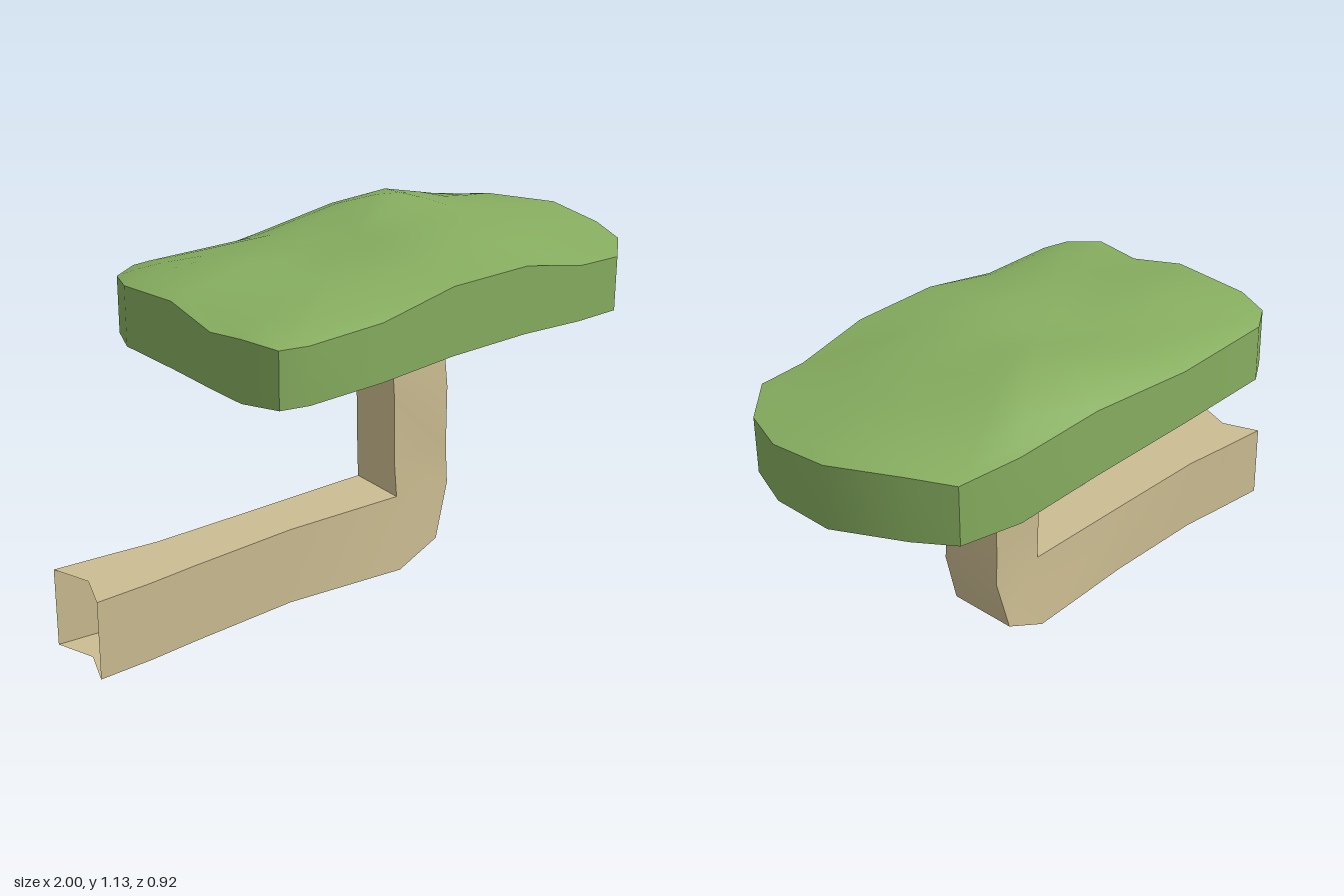
import * as THREE from 'three';
import { toCreasedNormals } from 'three/addons/utils/BufferGeometryUtils.js';

// Skin a list of closed rings (arrays of [x, y, z]) with quads
function loft(rings, crease) {
  const n = rings[0].length, index = [];
  rings.slice(1).forEach((_, j) => {
    for (let i = 0; i < n; i++) {
      const k = (i + 1) % n;
      const a = j * n + i, b = j * n + k, c = b + n, d = a + n;
      index.push(a, d, c, a, c, b);
    }
  });
  const geo = new THREE.BufferGeometry();
  geo.setAttribute('position', new THREE.Float32BufferAttribute(rings.flat(2), 3));
  geo.setIndex(index);
  return toCreasedNormals(geo, crease);
}

// Bent square limb: open notched end, long arm, chamfered elbow, upright
function branchGeometry() {
  // lower/outer x, y, front z, back z; then upper/inner x, y, front z, back z
  const sections = [
    [-1, 0, 0.185, -0.066, -1, 0.255, 0.185, -0.066],
    [-0.82, 0, 0.18, -0.05, -0.82, 0.255, 0.18, -0.05],
    [-0.66, 0, 0.167, -0.034, -0.66, 0.255, 0.167, -0.034],
    [-0.29, 0, 0.146, -0.036, -0.29, 0.255, 0.146, -0.036],
    [0.12, 0, 0.185, -0.06, 0.12, 0.255, 0.162, -0.04],
    [0.27, 0.07, 0.185, -0.058, 0.12, 0.255, 0.162, -0.04],
    [0.32, 0.255, 0.176, -0.054, 0.12, 0.255, 0.162, -0.04],
    [0.32, 0.38, 0.166, -0.058, 0.12, 0.38, 0.148, -0.045],
    [0.32, 0.59, 0.166, -0.058, 0.12, 0.59, 0.145, -0.05],
    [0.32, 0.85, 0.128, -0.066, 0.12, 0.85, 0.12, -0.062],
  ];
  const rings = sections.map(([ox, oy, of, ob, ix, iy, jf, jb], s) => {
    const notch = s === 0 ? 0.045 : 0;
    return [[ox, oy, of], [ix, iy, jf], [ix + notch, iy, (jf + jb) / 2],
      [ix, iy, jb], [ox, oy, ob], [ox + notch, oy, (of + ob) / 2]];
  });
  return loft(rings, 0.6);
}

// Rim of the foliage pad: x, z, height of the wall's top edge
const rim = [
  [-0.608, -0.25, 1.01], [-0.565, -0.365, 1.0], [-0.47, -0.425, 1.0],
  [-0.1, -0.437, 0.995], [0.3, -0.45, 1.035], [0.62, -0.46, 1.03],
  [0.81, -0.415, 1.005], [0.89, -0.3, 1.02], [1, -0.09, 1.02],
  [1, 0.12, 1.0], [0.94, 0.28, 0.995], [0.8, 0.415, 0.995],
  [0.64, 0.42, 1.0], [0.4, 0.431, 1.05], [0.1, 0.44, 1.05],
  [-0.17, 0.448, 1.0], [-0.44, 0.458, 0.995], [-0.53, 0.437, 0.995],
  [-0.585, 0.33, 1.01], [-0.592, 0.19, 0.99], [-0.6, 0, 1.03],
];

// Soft lumps of the upper and lower surfaces
const lump = (x, z, cx, cz, r) => Math.exp(-((x - cx) ** 2 + (z - cz) ** 2) / (r * r));
const crown = (x, z) => 1.057 + 0.045 * lump(x, z, 0.36, 0.1, 0.36)
  + 0.06 * lump(x, z, 0.38, -0.31, 0.23) + 0.025 * lump(x, z, -0.38, -0.08, 0.22)
  - 0.03 * lump(x, z, -0.5, 0.2, 0.2) - 0.03 * lump(x, z, -0.25, -0.4, 0.22)
  - 0.015 * lump(x, z, 0, -0.1, 0.18) - 0.04 * lump(x, z, 0.75, 0.35, 0.25);
const under = (x, z) => 0.824 - 0.022 * lump(x, z, 0.02, -0.08, 0.15);

function foliageGeometry() {
  const cx = 0.12, cz = -0.06;
  const at = (t, height) => rim.map(([px, pz, py]) => {
    const x = cx + (px - cx) * t, z = cz + (pz - cz) * t;
    return [x, height(x, z, py), z];
  });
  const { lerp } = THREE.MathUtils;
  // The lower edge lifts where the rim is high
  const rings = [0, 0.2, 0.4, 0.7, 1].map((t) => at(t, (x, z, py) =>
    lerp(under(x, z), 0.815 + 0.6 * Math.max(0, py - 1.025), t * t)));
  for (const t of [1, 0.93, 0.82, 0.65, 0.45, 0.22, 0]) {
    rings.push(at(t, (x, z, py) => lerp(crown(x, z), py, t ** 4.5)));
  }
  return loft(rings, 0.7);
}

export function createModel() {
  const group = new THREE.Group();
  group.name = 'treeBranch';
  const add = (name, geometry, color) => {
    const material = new THREE.MeshStandardMaterial({ color, side: THREE.DoubleSide });
    const mesh = new THREE.Mesh(geometry, material);
    mesh.name = name;
    group.add(mesh);
  };
  add('branch', branchGeometry(), 0xcbbc91);
  add('foliage', foliageGeometry(), 0x86ad5f);
  return group;
}
